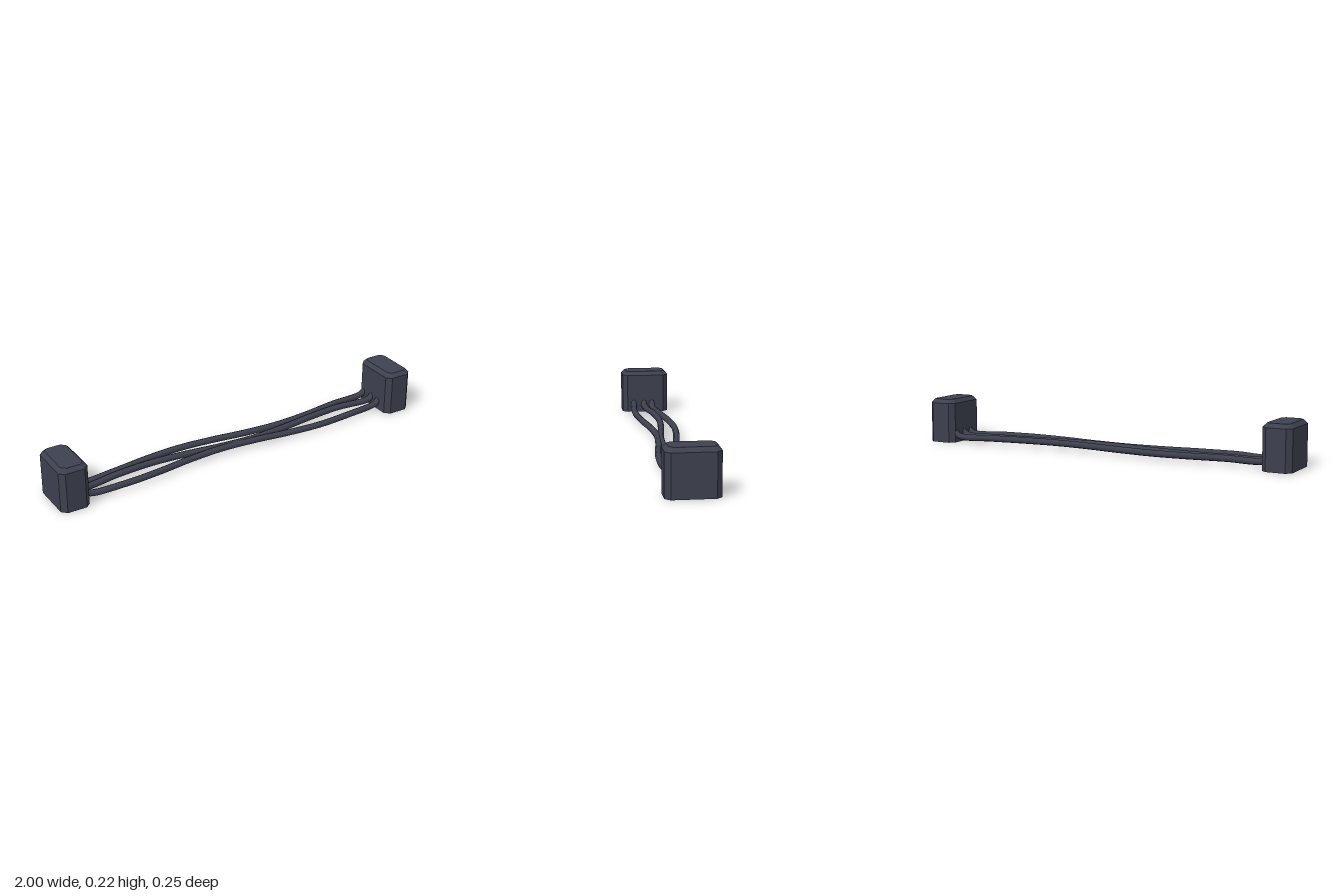
import * as THREE from 'three';
import { ConvexGeometry } from 'three/addons/geometries/ConvexGeometry.js';

const slate = new THREE.MeshStandardMaterial({ color: 0x3d414f });
slate.name = 'slate';

// Octagonal outline (rectangle with cut corners) at height y
function octagon(hx, hz, cut, y) {
  const points = [];
  for (const sx of [-1, 1]) for (const sz of [-1, 1]) {
    points.push(new THREE.Vector3(sx * hx, y, sz * (hz - cut)));
    points.push(new THREE.Vector3(sx * (hx - cut), y, sz * hz));
  }
  return points;
}

// Block with cut upright corners and a bevelled top
function blockGeometry() {
  return new ConvexGeometry([
    ...octagon(0.0735, 0.125, 0.025, 0),
    ...octagon(0.0735, 0.125, 0.025, 0.205),
    ...octagon(0.0555, 0.107, 0.02, 0.225),
  ]);
}

// Wavy cable lying near the ground, its ends turning up into the blocks
function cableGeometry(offset, crest) {
  const wave = x => offset - 0.025 * Math.cos((x - crest) * Math.PI * 2 / 1.13);
  const points = [new THREE.Vector3(-0.88, 0.085, wave(-0.85))];
  points.push(new THREE.Vector3(-0.86, 0.05, wave(-0.85)));
  const spans = 9;
  for (let i = 0; i <= spans; i++) {
    const x = -0.835 + 1.67 * i / spans;
    points.push(new THREE.Vector3(x, 0.033, wave(x)));
  }
  points.push(new THREE.Vector3(0.86, 0.05, wave(0.85)));
  points.push(new THREE.Vector3(0.88, 0.085, wave(0.85)));
  const curve = new THREE.CatmullRomCurve3(points, false, 'centripetal');
  return new THREE.TubeGeometry(curve, 100, 0.0165, 8);
}

export function createModel() {
  const group = new THREE.Group();
  group.name = 'cableRun';

  // End blocks
  for (const side of [-1, 1]) {
    const block = new THREE.Mesh(blockGeometry(), slate);
    block.name = side < 0 ? 'rightBlock' : 'leftBlock';
    block.position.x = side * 0.9265;
    group.add(block);
  }

  // Three cables, each a step out of phase with the next
  const cables = [
    ['backCable', -0.06, -0.29],
    ['middleCable', -0.004, -0.47],
    ['frontCable', 0.053, -0.1],
  ];
  for (const [name, offset, crest] of cables) {
    const cable = new THREE.Mesh(cableGeometry(offset, crest), slate);
    cable.name = name;
    group.add(cable);
  }
  return group;
}
